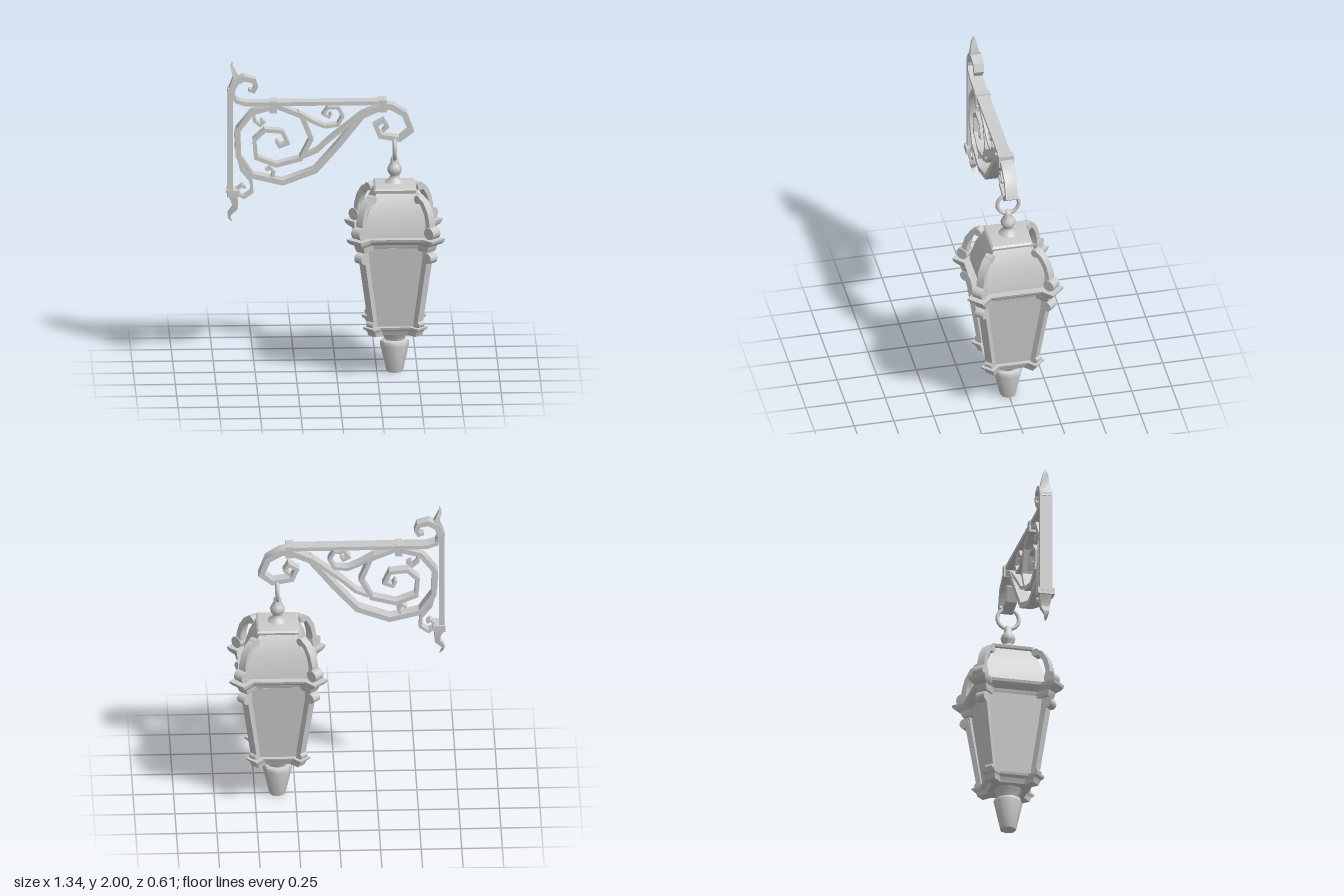
import * as THREE from 'three';
import { toCreasedNormals } from 'three/addons/utils/BufferGeometryUtils.js';

const material = new THREE.MeshStandardMaterial({ color: 0xcccccc });
const lerp = THREE.MathUtils.lerp;

function add(parent, name, geometry) {
  const mesh = new THREE.Mesh(geometry, material);
  mesh.name = name;
  parent.add(mesh);
  return mesh;
}

// Skin a list of equal-length rings (counter-clockwise about the sweep) and cap both ends.
function loft(rings, crease = 0.6) {
  const pos = [];
  const tri = (...pts) => pts.forEach((p) => pos.push(p.x, p.y, p.z));
  const n = rings[0].length;
  for (let r = 0; r < rings.length - 1; r++) {
    const a = rings[r], b = rings[r + 1];
    for (let i = 0; i < n; i++) {
      const j = (i + 1) % n;
      tri(a[i], a[j], b[j]);
      tri(a[i], b[j], b[i]);
    }
  }
  const cap = (ring, flip) => {
    const c = new THREE.Vector3();
    ring.forEach((p) => c.addScaledVector(p, 1 / n));
    for (let i = 0; i < n; i++) {
      const p = ring[i], q = ring[(i + 1) % n];
      if (flip) tri(c, q, p); else tri(c, p, q);
    }
  };
  cap(rings[0], true);
  cap(rings[rings.length - 1], false);
  const g = new THREE.BufferGeometry();
  g.setAttribute('position', new THREE.Float32BufferAttribute(pos, 3));
  return toCreasedNormals(g, crease);
}

// Flat iron strip along a path in the xy plane, in hundredths;
// thickness t and half depth d taper from start to end.
function ribbon(path, t0, t1 = t0, d0 = 4, d1 = d0) {
  const pts = path.map(([x, y]) => new THREE.Vector2(x, y).multiplyScalar(0.01));
  const last = pts.length - 1;
  const dir = (i) => pts[i + 1].clone().sub(pts[i]).normalize();
  const rings = pts.map((p, i) => {
    const a = dir(Math.max(i - 1, 0)), b = dir(Math.min(i, last - 1));
    const m = a.clone().add(b).normalize();
    const k = lerp(t0, t1, i / last) / 200 / Math.max(m.dot(b), 0.6);
    const z = lerp(d0, d1, i / last) / 100;
    const nx = -m.y * k, ny = m.x * k;
    return [[1, 1], [-1, 1], [-1, -1], [1, -1]].map(
      ([s, e]) => new THREE.Vector3(p.x + nx * s, p.y + ny * s, z * e));
  });
  return loft(rings, 0.7);
}

// Repeat one quarter of a plan outline [x, z] around the y axis.
function quarterRing(quarter, y) {
  const ring = [];
  for (let k = 0; k < 4; k++) {
    for (const [px, pz] of quarter) {
      let x = px, z = pz;
      for (let q = 0; q < k; q++) [x, z] = [z, -x];
      ring.push(new THREE.Vector3(x, y, z));
    }
  }
  return ring;
}
const squareLoft = (profile) => loft(profile.map(([h, y]) => quarterRing([[h, h]], y)), 0.3);

// Square moulding with diagonal corner blocks; profile rows are [inset, y].
function cornice(h, reach, w, profile) {
  return loft(profile.map(([o, y]) => {
    const hh = h - o, D = reach - o, ww = w - o * 0.4;
    const lo = (D - ww) * Math.SQRT1_2, hi = (D + ww) * Math.SQRT1_2, inner = hh - ww * Math.SQRT2;
    return quarterRing([[inner, hh], [lo, hi], [hi, lo], [hh, inner]], y);
  }), 0.4);
}

function lathe(profile, segments) {
  const g = new THREE.LatheGeometry(profile.map(([r, y]) => new THREE.Vector2(r, y)), segments);
  return toCreasedNormals(g, 0.85);
}

function createBracket() {
  const g = new THREE.Group();
  g.name = 'wallBracket';
  add(g, 'wallBar', ribbon([[-65.2, 114], [-65.2, 183]], 3.2));
  add(g, 'topSpike', ribbon([[-65, 180], [-62, 190], [-64.3, 196.5], [-64, 200]], 4.5, 0.3, 4, 0.3));
  add(g, 'topCurl', ribbon([[-65, 181], [-62, 187], [-57, 189.5], [-51, 188],
    [-49.5, 184], [-51, 181], [-54, 181.8]], 4, 1.8, 4, 2.5));
  add(g, 'bottomTail', ribbon([[-65, 117], [-62.5, 110], [-62.5, 106], [-66, 102],
    [-66, 99.5], [-64, 97]], 5, 0.3, 4, 0.5));
  add(g, 'topBar', ribbon([[-64, 179], [-62, 175.3], [-56, 173.2], [28, 173.2]], 2.4));
  add(g, 'hook', ribbon([[27, 171], [34, 170.5], [42, 165.5], [46, 155], [39, 149.5],
    [27, 151.5], [24, 158.5], [29, 161.5], [31.5, 157.5], [28.5, 154.5]], 4, 1.6, 4, 3));
  add(g, 'mainScroll', ribbon([[27, 170], [16, 165], [1, 146], [-13, 130], [-33, 122.5],
    [-52, 127], [-60.5, 139.5], [-60.5, 156.5], [-52, 167.5], [-37, 171.5], [-21.5, 165],
    [-15.5, 150], [-22, 137.5], [-37, 133.5], [-49.5, 138.5], [-50.5, 150], [-44, 156],
    [-33.5, 155], [-30, 147.5], [-35, 145.5], [-37, 149]], 3.6, 2, 4, 3));
  add(g, 'innerBrace', ribbon([[16, 166], [-4, 150], [-12, 142.5], [-20, 139]], 2.2, 2, 3.5));
  add(g, 'upperCurl', ribbon([[-24, 167], [-14, 161], [-7, 158], [1, 159], [4, 164.5],
    [1, 170], [-5, 170], [-8, 166], [-4.5, 164], [-3, 166.5]], 2.2, 1.5, 3.5, 2.5));
  add(g, 'leftCurl', ribbon([[-51, 168], [-50.5, 162], [-47, 159], [-44.5, 161], [-46.5, 162.5]],
    2, 1.3, 2.5));
  add(g, 'lowerCurl', ribbon([[-40, 124], [-38.5, 129], [-41, 131.5], [-43.5, 130]], 2, 1.3, 2.5));
  add(g, 'sideStrand', ribbon([[-62, 156], [-61.5, 144], [-58.5, 131], [-52.5, 123.5],
    [-52, 116.5], [-57, 113], [-60.5, 115], [-60.5, 118.5], [-58, 120.5], [-56, 119]],
    2, 1.5, 3.5, 2.5));
  // Collars binding the strips: [x, y, width, height, depth]
  for (const [x, y, w, h, d] of [[-0.388, 1.713, 0.045, 0.075, 0.094],
    [0.287, 1.713, 0.047, 0.078, 0.094], [-0.637, 1.16, 0.072, 0.043, 0.106]]) {
    add(g, 'collar', new THREE.BoxGeometry(w, h, d)).position.set(x, y, 0);
  }
  return g;
}

// One diagonal corner of the frame, drawn with x as the distance from the axis.
function createCorner() {
  const g = new THREE.Group();
  g.name = 'cornerFrame';
  add(g, 'domeArm', ribbon([[20.5, 115.5], [25, 113], [28.5, 107.5], [30.3, 101], [30, 94]], 3.2, 3.2, 2.3, 2.8));
  add(g, 'cornerPost', ribbon([[28, 82], [27.4, 76], [20, 36], [19.5, 31]], 4, 3, 2.7, 2.4));
  // Scroll ends: [distance, y, radius, half width]
  for (const [d, y, r, w] of [[0.21, 1.146, 0.026, 0.024], [0.318, 0.95, 0.038, 0.034],
    [0.3, 0.785, 0.033, 0.03], [0.208, 0.342, 0.021, 0.026]]) {
    const scroll = add(g, 'scrollEnd', new THREE.CylinderGeometry(r, r, w * 2, 14));
    scroll.rotation.x = Math.PI / 2;
    scroll.position.set(d, y, 0);
  }
  return g;
}

function createLantern() {
  const g = new THREE.Group();
  g.name = 'lantern';
  add(g, 'glassBody', squareLoft([[0.128, 0.31], [0.188, 0.84]]));
  add(g, 'domeRoof', squareLoft([[0.2, 0.905], [0.195, 0.95], [0.168, 1.06], [0.14, 1.13], [0.115, 1.175]]));
  add(g, 'roofCap', squareLoft([[0.1, 1.165], [0.126, 1.18], [0.13, 1.195], [0.118, 1.204], [0.05, 1.216]]));
  add(g, 'upperCornice', cornice(0.244, 0.371, 0.06,
    [[0.065, 0.825], [0.055, 0.845], [0.05, 0.865], [0.02, 0.88], [0.005, 0.895], [0, 0.912]]));
  add(g, 'lowerCornice', cornice(0.155, 0.238, 0.045,
    [[0.035, 0.265], [0.028, 0.285], [0.022, 0.297], [0.004, 0.308], [0, 0.322]]));
  add(g, 'topFinial', lathe([[0.062, 1.21], [0.056, 1.222], [0.034, 1.238], [0.028, 1.258],
    [0.042, 1.28], [0.046, 1.3], [0.038, 1.32], [0.024, 1.342], [0.024, 1.365], [0.015, 1.382], [0, 1.386]], 16));
  add(g, 'bottomFinial', lathe([[0, 0], [0.05, 0], [0.092, 0.182], [0.086, 0.2], [0.062, 0.208],
    [0.066, 0.222], [0.08, 0.245], [0.092, 0.27], [0, 0.27]], 8));
  const ring = add(g, 'hangingRing', new THREE.TorusGeometry(0.068, 0.012, 8, 24));
  ring.rotation.y = Math.PI / 2;
  ring.position.y = 1.432;
  for (let k = 0; k < 4; k++) {
    const corner = createCorner();
    corner.rotation.y = Math.PI / 4 + k * Math.PI / 2;
    g.add(corner);
  }
  g.position.x = 0.36;
  return g;
}

export function createModel() {
  const model = new THREE.Group();
  model.name = 'wallLantern';
  model.add(createBracket(), createLantern());
  return model;
}
